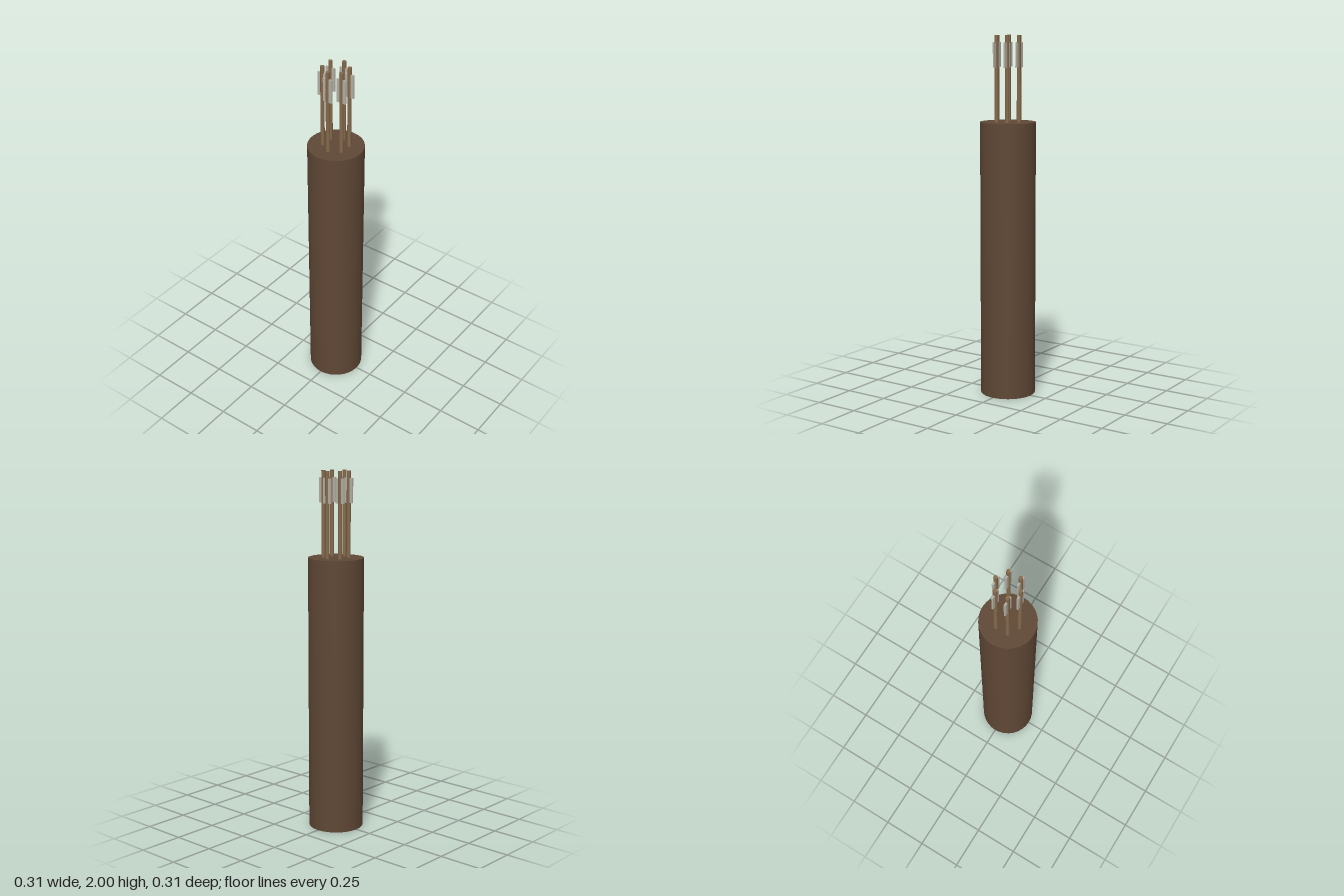
import * as THREE from 'three';

export function createModel() {
  const model = new THREE.Group();
  const material = (name, color) => {
    const m = new THREE.MeshStandardMaterial({ color });
    m.name = name;
    return m;
  };
  const bark = material('dark brown', 0x5f4735);
  const wood = material('light brown', 0x866a4c);
  const fletch = material('pale grey', 0xb4b0a4);

  const add = (parent, name, geometry, mat, y) => {
    const mesh = new THREE.Mesh(geometry, mat);
    mesh.name = name;
    mesh.position.y = y;
    parent.add(mesh);
  };

  // Solid cylindrical body
  const bodyHeight = 1.53, bodyRadius = 0.153;
  add(model, 'body', new THREE.CylinderGeometry(bodyRadius, bodyRadius, bodyHeight, 32), bark, bodyHeight / 2);

  // Ring of six shafts, each with a thin fin through its upper end
  const shaftBottom = 1.5, shaftTop = 2;
  const shaftGeometry = new THREE.CylinderGeometry(0.011, 0.011, shaftTop - shaftBottom, 8);
  const finGeometry = new THREE.BoxGeometry(0.0095, 0.134, 0.055);
  for (let i = 0; i < 6; i++) {
    const angle = i * Math.PI / 3;
    const arrow = new THREE.Group();
    arrow.name = 'arrow' + (i + 1);
    arrow.position.set(0.07 * Math.cos(angle), 0, 0.07 * Math.sin(angle));
    add(arrow, 'shaft', shaftGeometry, wood, (shaftBottom + shaftTop) / 2);
    add(arrow, 'fin', finGeometry, fletch, 1.894);
    model.add(arrow);
  }
  return model;
}
